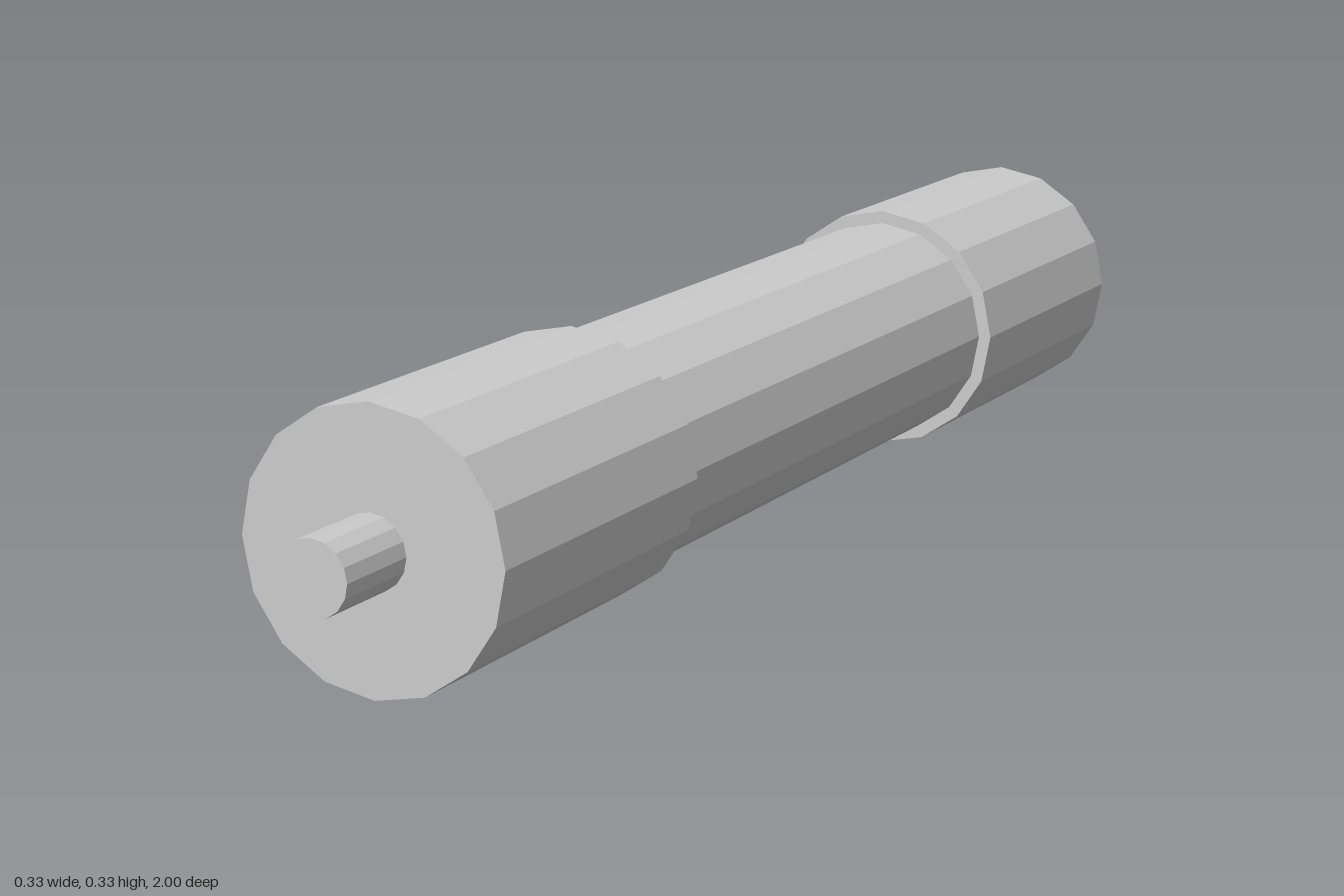
import * as THREE from 'three';

const AXIS_Y = 0.165;
const material = new THREE.MeshStandardMaterial({ color: 0xcccccc, flatShading: true });

// 16-sided rod lying along z, from z0 to z1
function rod(name, radius, z0, z1) {
  const geometry = new THREE.CylinderGeometry(radius, radius, z1 - z0, 16);
  geometry.rotateX(Math.PI / 2);
  const mesh = new THREE.Mesh(geometry, material);
  mesh.name = name;
  mesh.position.set(0, AXIS_Y, (z0 + z1) / 2);
  return mesh;
}

export function createModel() {
  const model = new THREE.Group();
  model.name = 'cylinderWithEndCaps';

  // Slimmer central tube
  model.add(rod('body', 0.148, -0.46, 0.46));

  // Thick cap and thin pin, mirrored at each end
  const front = new THREE.Group();
  front.name = 'frontEnd';
  front.add(rod('cap', 0.165, 0.445, 0.885), rod('pin', 0.044, 0.87, 1));
  const back = front.clone();
  back.name = 'backEnd';
  back.rotation.y = Math.PI;
  model.add(front, back);

  return model;
}
